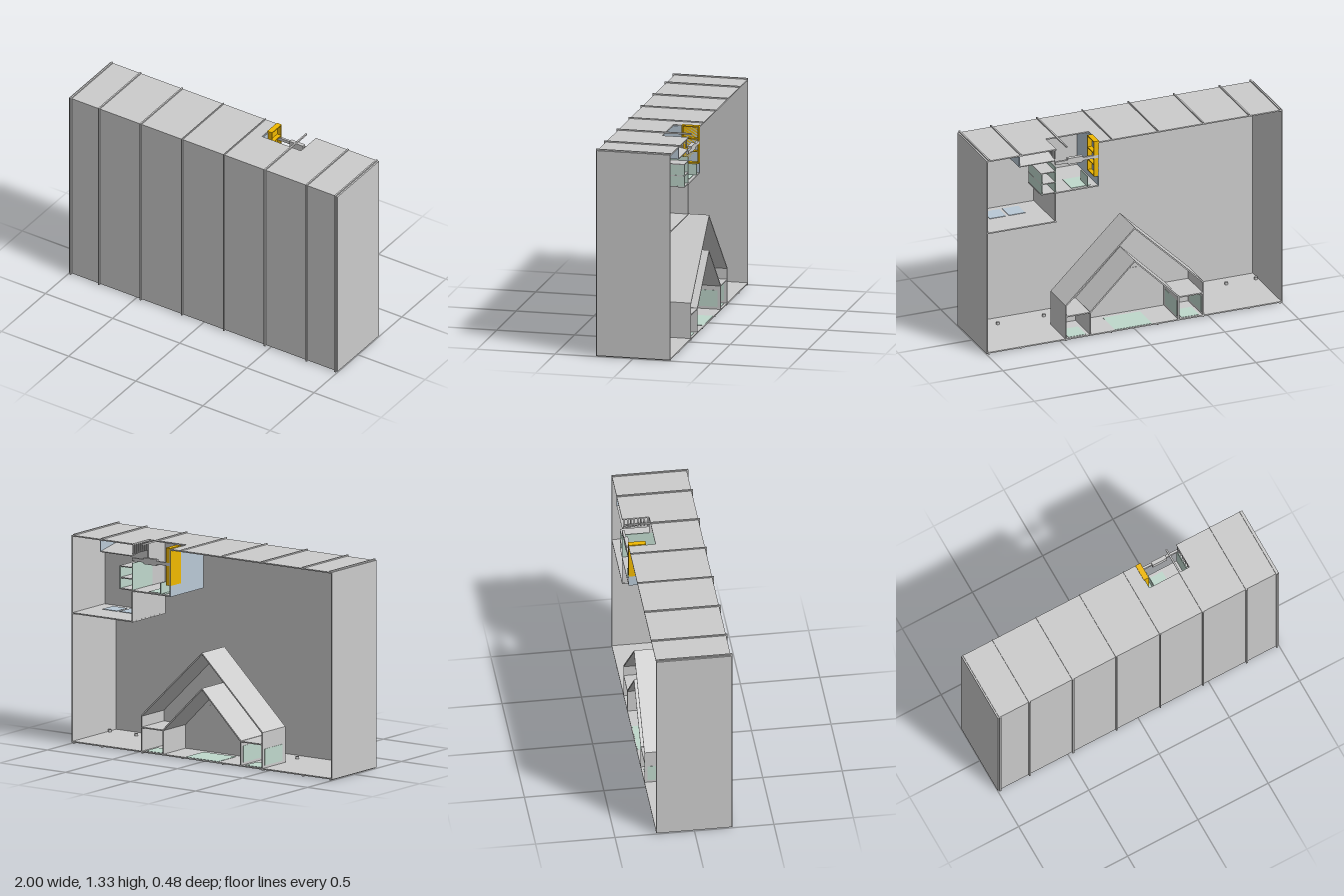
import * as THREE from 'three';

const grey = new THREE.MeshStandardMaterial({ color: 0xcccccc, side: THREE.DoubleSide });
const green = new THREE.MeshStandardMaterial({ color: 0xbfd8cc, side: THREE.DoubleSide });
const blue = new THREE.MeshStandardMaterial({ color: 0xb9c9d6, side: THREE.DoubleSide });
const yellow = new THREE.MeshStandardMaterial({ color: 0xf0b800 });

const T = 0.008; // panel thickness
const BACK = -0.24; // open side

// Box given by its minimum and maximum along each axis
function slab(parent, name, [x0, x1], [y0, y1], [z0, z1], mat = grey) {
  const mesh = new THREE.Mesh(new THREE.BoxGeometry(x1 - x0, y1 - y0, z1 - z0), mat);
  mesh.position.set((x0 + x1) / 2, (y0 + y1) / 2, (z0 + z1) / 2);
  mesh.name = name;
  parent.add(mesh);
  return mesh;
}

// Outline in the x-y plane, extruded along z
function prism(parent, name, points, z0, z1, mat = grey) {
  const shape = new THREE.Shape(points.map(([x, y]) => new THREE.Vector2(x, y)));
  const geo = new THREE.ExtrudeGeometry(shape, { depth: z1 - z0, bevelEnabled: false });
  geo.translate(0, 0, z0);
  const mesh = new THREE.Mesh(geo, mat);
  mesh.name = name;
  parent.add(mesh);
  return mesh;
}

function makeGroup(parent, name) {
  const g = new THREE.Group();
  g.name = name;
  parent.add(g);
  return g;
}

// Outer case, open at the back, with a notch in the roof
function buildCase(root) {
  const g = makeGroup(root, 'case');
  slab(g, 'frontWall', [-0.995, 0.995], [0.008, 1.322], [0.222, 0.23]);
  slab(g, 'floor', [-0.995, 0.995], [0.006, 0.014], [BACK, 0.23]);
  for (const s of [-1, 1]) {
    slab(g, 'sideWall', [s * 0.996 - 0.004, s * 0.996 + 0.004], [0.006, 1.324], [BACK, 0.232]);
  }
  const outline = [[-0.995, BACK], [0.24, BACK], [0.24, -0.07], [0.53, -0.07],
    [0.53, BACK], [0.995, BACK], [0.995, 0.23], [-0.995, 0.23]];
  const roof = prism(g, 'roof', outline, 0, T);
  roof.geometry.rotateX(Math.PI / 2);
  roof.position.y = 1.324;

  // Ribs wrap the roof, front and floor; each has a bolt above and below
  const boltGeo = new THREE.CylinderGeometry(0.011, 0.011, 0.02, 12);
  for (const x of [-0.985, -0.775, -0.465, -0.157, 0.155, 0.46, 0.77, 0.985]) {
    const w = Math.abs(x) < 0.2 ? 0.003 : 0.005;
    const rib = makeGroup(g, 'rib');
    slab(rib, 'ribFront', [x - w, x + w], [0, 1.332], [0.23, 0.24]);
    slab(rib, 'ribTop', [x - w, x + w], [1.322, 1.332], [BACK, 0.24]);
    slab(rib, 'ribBottom', [x - w, x + w], [0, 0.008], [BACK, 0.24]);
    for (const y of [0.02, 1.309]) {
      const bolt = new THREE.Mesh(boltGeo, grey);
      bolt.name = 'bolt';
      bolt.position.set(THREE.MathUtils.clamp(x, -0.975, 0.975), y, 0.13);
      g.add(bolt);
    }
  }
}

// Pair of nested gabled shells standing on the floor
function buildHouse(root) {
  const g = makeGroup(root, 'gabledHouse');
  const shell = (name, hw, eave, peak) => {
    const t = T, k = T * 1.4;
    prism(g, name, [[-hw, 0.01], [-hw, eave], [0, peak], [hw, eave], [hw, 0.01],
      [hw - t, 0.01], [hw - t, eave - k / 2], [0, peak - k], [-hw + t, eave - k / 2], [-hw + t, 0.01]], BACK, 0);
  };
  shell('outerShell', 0.468, 0.242, 0.694);
  shell('innerShell', 0.302, 0.17, 0.468);
  prism(g, 'gableWall', [[-0.465, 0.01], [0.465, 0.01], [0.465, 0.238], [0, 0.688], [-0.465, 0.238]], -0.006, 0);
  slab(g, 'doorPanel', [-0.11, 0.11], [0.06, 0.31], [-0.009, 0.003]);
  slab(g, 'floorPane', [-0.12, 0.13], [0.004, 0.016], [-0.235, -0.04], green);

  // Low side alcoves
  for (const s of [-1, 1]) {
    const c = s * 0.383;
    slab(g, 'alcoveTop', [c - 0.083, c + 0.083], [0.16, 0.168], [BACK, 0]);
    slab(g, 'alcoveFloorPane', [c - 0.06, c + 0.06], [0.004, 0.016], [-0.225, -0.1], green);
  }
  for (const x of [-0.464, -0.298]) {
    slab(g, 'alcoveWindow', [x - 0.006, x + 0.006], [0.03, 0.135], [-0.22, -0.03], green);
  }
}

// Two-level room hung in the upper corner, below the roof notch
function buildUpperRoom(root) {
  const g = makeGroup(root, 'upperRoom');
  const deep = 0.11;
  slab(g, 'lowerDeck', [0.53, 0.992], [0.824, 0.832], [BACK, deep]);
  slab(g, 'upperDeck', [0.245, 0.535], [1.02, 1.028], [BACK, deep]);
  slab(g, 'lowerRearWall', [0.53, 0.992], [0.824, 1.318], [deep - T, deep]);
  slab(g, 'upperRearWall', [0.245, 0.535], [1.02, 1.318], [deep - T, deep]);
  slab(g, 'sidePane', [0.241, 0.247], [1.02, 1.318], [BACK, deep], blue);
  slab(g, 'dividerLow', [0.531, 0.539], [0.824, 1.02], [BACK, deep]);
  slab(g, 'dividerHigh', [0.531, 0.539], [1.2, 1.32], [-0.07, deep]);
  slab(g, 'dividerRear', [0.531, 0.539], [1.02, 1.2], [-0.03, deep]);
  for (const x of [0.66, 0.79]) {
    slab(g, 'deckPane', [x, x + 0.11], [0.821, 0.835], [-0.05, 0.06], blue);
  }
  slab(g, 'upperDeckPane', [0.29, 0.42], [1.017, 1.031], [-0.22, -0.08], green);
  slab(g, 'lowPane', [0.315, 0.32], [1.028, 1.1], [BACK, -0.13], green);

  // Glazed bay through the divider
  const bay = makeGroup(g, 'windowBay');
  slab(bay, 'bayPane', [0.625, 0.631], [1.03, 1.17], [BACK, -0.03], green);
  slab(bay, 'bayInnerPane', [0.532, 0.538], [1.03, 1.2], [BACK, -0.03], green);
  slab(bay, 'bayEnd', [0.535, 0.631], [1.03, 1.17], [-0.036, -0.03], green);
  for (const y of [1.025, 1.095, 1.168]) slab(bay, 'bayShelf', [0.535, 0.633], [y, y + 0.006], [BACK, -0.03]);

  // Hopper under the roof: sloped base, end pane and slats
  const hopper = makeGroup(g, 'hopper');
  const base = slab(hopper, 'hopperBase', [0.537, 0.78], [-0.003, 0.003], [0, 0.17]);
  base.position.set(0.6585, 1.26, -0.155);
  base.rotation.x = -0.18;
  slab(hopper, 'hopperPane', [0.777, 0.783], [1.245, 1.318], [BACK, -0.075], blue);
  for (let i = 0; i < 8; i++) {
    const z = -0.23 + i * 0.021;
    slab(hopper, 'slat', [0.531, 0.539], [1.255, 1.32], [z, z + 0.008]);
  }

  // Rails across the opening
  slab(g, 'rail', [0.245, 0.535], [1.215, 1.235], [BACK, -0.225]);
  slab(g, 'railBlock', [0.35, 0.45], [1.205, 1.245], [BACK, -0.215]);

  // Open yellow cabinet
  const cab = makeGroup(g, 'yellowCabinet');
  slab(cab, 'cabinetBack', [0.24, 0.247], [1.09, 1.33], [BACK, -0.13], yellow);
  for (const z of [BACK, -0.137]) slab(cab, 'cabinetSide', [0.24, 0.275], [1.09, 1.33], [z, z + 0.007], yellow);
  for (const y of [1.09, 1.165, 1.245, 1.323]) {
    slab(cab, 'cabinetShelf', [0.24, 0.275], [y, y + 0.007], [BACK, -0.13], yellow);
  }
}

export function createModel() {
  const root = new THREE.Group();
  root.name = 'cutawayBuilding';
  buildCase(root);
  buildHouse(root);
  buildUpperRoom(root);
  return root;
}
